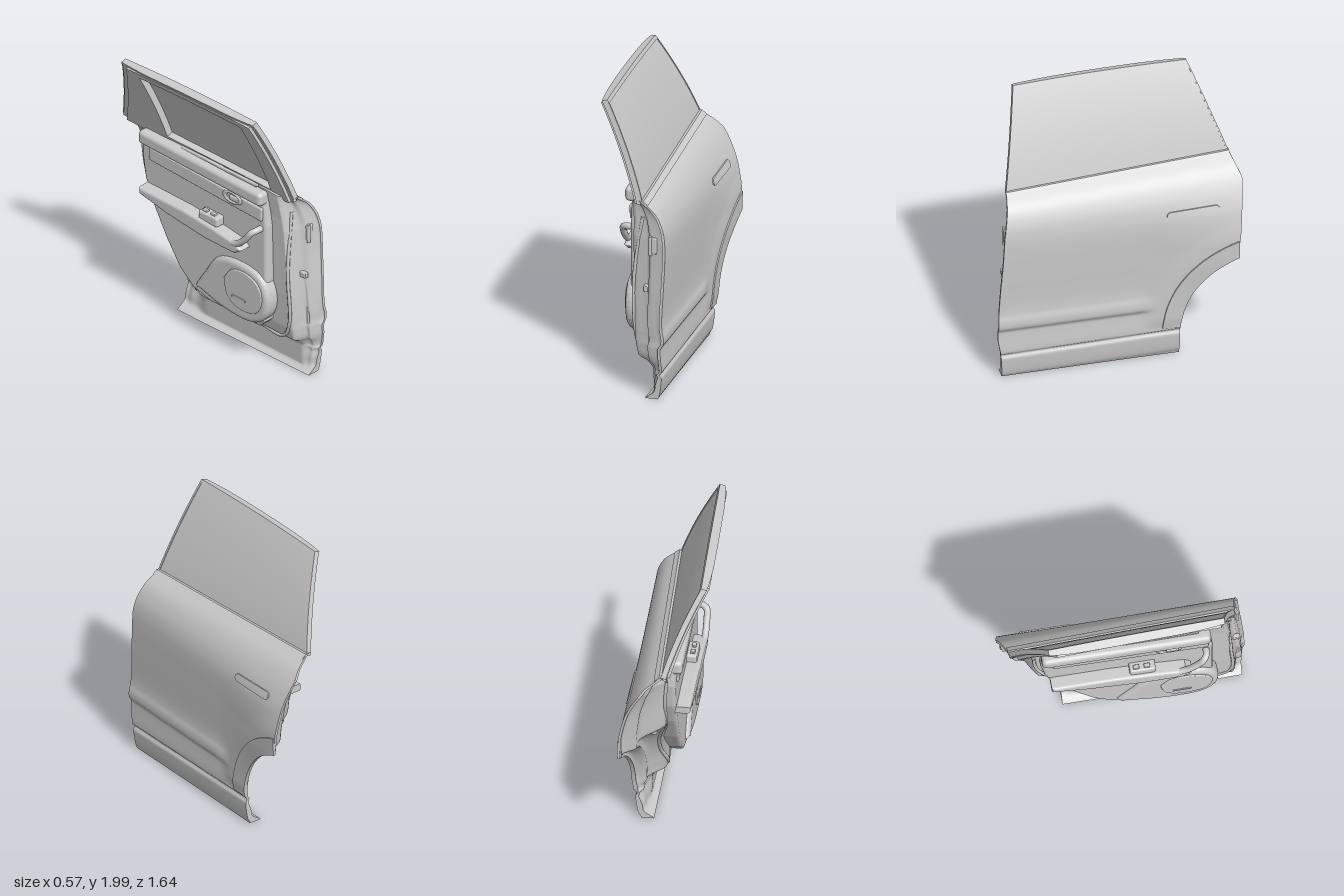
import * as THREE from 'three';
import { mergeGeometries } from 'three/addons/utils/BufferGeometryUtils.js';
import { RoundedBoxGeometry } from 'three/addons/geometries/RoundedBoxGeometry.js';

const mat = new THREE.MeshStandardMaterial({ color: 0xcccccc, side: THREE.DoubleSide });
const lerp = THREE.MathUtils.lerp;
const ramp = (a, b, t) => THREE.MathUtils.smoothstep(t, a, b);

// Straight or smooth lookup in a list of [key, value] pairs
function look(table, k, smooth = false) {
  const n = table.length;
  if (k <= table[0][0]) return table[0][1];
  if (k >= table[n - 1][0]) return table[n - 1][1];
  let i = 0;
  while (k > table[i + 1][0]) i++;
  const [a, b] = [table[i], table[i + 1]], h = b[0] - a[0], t = (k - a[0]) / h;
  if (!smooth) return lerp(a[1], b[1], t);
  const slope = j => {
    const p = table[Math.max(j - 1, 0)], q = table[Math.min(j + 1, n - 1)];
    return (q[1] - p[1]) / (q[0] - p[0]);
  };
  const t2 = t * t, t3 = t2 * t;
  return a[1] * (2 * t3 - 3 * t2 + 1) + b[1] * (3 * t2 - 2 * t3) +
    h * (slope(i) * (t3 - 2 * t2 + t) + slope(i + 1) * (t3 - t2));
}

// Surface from f(u, v) -> [x, y, z]
function grid(f, nu, nv) {
  const pos = [], idx = [];
  for (let j = 0; j <= nv; j++) for (let i = 0; i <= nu; i++) pos.push(...f(i / nu, j / nv));
  for (let j = 0; j < nv; j++) for (let i = 0; i < nu; i++) {
    const a = j * (nu + 1) + i, b = a + nu + 1;
    idx.push(a, a + 1, b, a + 1, b + 1, b);
  }
  const g = new THREE.BufferGeometry();
  g.setAttribute('position', new THREE.Float32BufferAttribute(pos, 3));
  g.setIndex(idx);
  g.computeVertexNormals();
  return g;
}

// Closed sheet between an outer and an inner surface
function slab(out, inn, nu, nv) {
  const mix = (u, v, t) => { const a = out(u, v), b = inn(u, v); return a.map((p, i) => lerp(p, b[i], t)); };
  return mergeGeometries([
    grid(out, nu, nv), grid((u, v) => inn(1 - u, v), nu, nv),
    grid((u, t) => mix(u, 0, 1 - t), nu, 1), grid((u, t) => mix(u, 1, t), nu, 1),
    grid((t, v) => mix(0, v, 1 - t), 1, nv), grid((t, v) => mix(1, v, t), 1, nv),
  ]);
}

// Door outline: front and rear edges by height, the rear one cut by the wheel arch
const FRONT = [[0.01, 0.79], [0.18, 0.8], [0.3, 0.82], [0.45, 0.82], [0.7, 0.805], [0.9, 0.79], [1.1, 0.78], [1.2, 0.765], [1.38, 0.73]];
const REAR = [[0.74, -0.757], [0.9, -0.78], [1.1, -0.8], [1.25, -0.82], [1.38, -0.76]];
const frontZ = y => look(FRONT, y);
const rearZ = y => y > 0.74 ? look(REAR, y) : -0.97 + Math.sqrt(0.58 ** 2 - Math.max(0, y - 0.2) ** 2);

const PROFILE = [[0.01, 0.18], [0.05, 0.2], [0.16, 0.216], [0.18, 0.214], [0.195, 0.203], [0.215, 0.219], [0.34, 0.215], [0.37, 0.216],
  [0.4, 0.234], [0.45, 0.236], [0.5, 0.226], [0.58, 0.223], [0.8, 0.231], [1, 0.236], [1.1, 0.228], [1.2, 0.198], [1.3, 0.135], [1.38, 0.035]];
const PLAIN = [[0.21, 0.217], [0.4, 0.222], [0.6, 0.226], [0.8, 0.231]];
const INNER = [[0.01, 0.14], [0.2, 0.13], [0.24, 0.1], [0.27, 0.04], [0.36, 0.02], [0.6, 0.005], [1.2, -0.01], [1.38, -0.025]];

const archDist = (y, z) => Math.hypot(z + 0.97, y - 0.2);
const tilt = (y, z) => -0.04 * z * ramp(0.8, 1.36, y);

// Outer skin: crease lines fade out towards the swollen rear wheel arch
function skinX(y, z) {
  let x = look(PROFILE, y + 0.017 * z * (1 - ramp(0.25, 0.35, y)), true);
  if (y > 0.23 && y < 0.8) x = lerp(look(PLAIN, y), x, ramp(-0.25, -0.1, z));
  x += 0.01 * ramp(0.22, 0.32, y) * (1 - ramp(0.7, 0.86, archDist(y, z)));
  x += 0.036 * (1 - ramp(-0.8, -0.1, z)) * ramp(0.35, 0.75, y) * (1 - ramp(0.85, 1.2, y));
  return x + 0.04 * z * ramp(1, 1.38, y);
}
const skinPt = (y, z, out = 0) => [skinX(y, z) + out, y + tilt(y, z), z];

// Pressed inner shell: flange rising in steps to a deep box
function shellPt(y, z) {
  const edge = skinX(y, z) - 0.018 - 0.05 * (1 - ramp(0, 0.07, y)) - 0.02 * (1 - ramp(0.1, 0.2, y));
  const f = frontZ(y) - z, b = Math.min(z - rearZ(y), archDist(y, z) - 0.58);
  const df = 0.45 * ramp(0.015, 0.035, f) + 0.55 * ramp(0.06, 0.1, f);
  const db = 0.35 * ramp(0.02, 0.07, b) + 0.65 * ramp(0.1, 0.23, b);
  const x = lerp(edge, Math.min(edge, look(INNER, y)), Math.min(df, db));
  return [x, y + tilt(y, z), z];
}

// Curved window surface; t runs from the belt (0) to the roof (1)
const winFront = t => lerp(0.73, 0.62, t), winRear = t => lerp(-0.76, -0.54, t * (0.9 + 0.1 * t));
function winPt(t, z, depth = 0) {
  const x = 0.03 - 0.18 * t - 0.073 * t * t + lerp(0.04, 0.025, t) * z;
  const top = 1.985 + 0.013 * (1 - (z / 0.6) ** 2);
  return [x - depth, lerp(1.38 - 0.04 * z, top, t) - depth * 0.3, z];
}
// Window part between two edges za(t), zb(t), heights t0..t1, depths d0..d1, with an inward bow
const winSlab = (za, zb, t0, t1, d0, d1, nu = 12, nv = 16, bow = 0) => {
  const at = (d, k) => (u, v) => {
    const t = lerp(t0, t1, v);
    return winPt(t, lerp(za(t), zb(t), u), d + k * (1 - (2 * u - 1) ** 4));
  };
  return slab(at(d0, 0), at(d1, bow), nu, nv);
};

// Plate with a rounded edge, drawn in (z, y) and raised towards the cabin
function plate(pts, x0, depth, bevel, round = false) {
  const v = pts.map(p => new THREE.Vector2(...p));
  const shape = round ? new THREE.Shape(new THREE.SplineCurve([...v, v[0]]).getPoints(48).slice(0, -1)) : new THREE.Shape(v);
  const g = new THREE.ExtrudeGeometry(shape, { depth: depth - bevel, bevelThickness: bevel, bevelSize: bevel, bevelOffset: -bevel, bevelSegments: 4 });
  return g.rotateY(-Math.PI / 2).translate(x0, 0, 0);
}

export function createModel() {
  const door = new THREE.Group();
  door.name = 'rearDoor';
  const add = (name, geo, x = 0, y = 0, z = 0) => {
    const m = new THREE.Mesh(geo, mat);
    m.name = name;
    m.position.set(x, y, z);
    door.add(m);
    return m;
  };
  const box = (w, h, d, r = 0.01) => new RoundedBoxGeometry(w, h, d, 3, r);

  // Lower door body
  const body = f => (u, v) => { const y = lerp(0.01, 1.38, v); return f(y, lerp(frontZ(y), rearZ(y), u)); };
  add('doorBody', slab(body(skinPt), body(shellPt), 110, 140));

  // Belt moulding
  const belt = off => (u, v) => skinPt(lerp(1.355, 1.38, v), lerp(0.735, -0.765, u), off);
  add('beltMoulding', slab(belt(0.01), belt(-0.02), 30, 3));

  // Wheel arch trim ring, cut off at the rear edge of the door
  const arch = off => (u, v) => {
    const r = lerp(0.7, 0.58, u), a = lerp(0.05, Math.acos(0.2 / r), v);
    return skinPt(0.2 + r * Math.sin(a), -0.97 + r * Math.cos(a), off);
  };
  add('archTrim', slab(arch(0.009), arch(-0.008), 8, 40));

  // Flush outer handle with rounded ends
  const grip = off => (u, v) => {
    const dy = lerp(-0.025, 0.025, v), half = 0.15 + Math.sqrt(Math.max(0, 0.000625 - dy * dy));
    const z = -0.475 + lerp(half, -half, u);
    return skinPt(1.098 + dy - 0.01 * (z + 0.475), z, off);
  };
  add('outerHandle', slab(grip(0.008), grip(-0.01), 24, 16));

  // Glass and surrounding frame: a wide layer and a narrower raised one
  add('windowGlass', winSlab(winFront, winRear, 0, 1, 0, 0.01, 24, 24));
  const openF = t => lerp(0.56, 0.49, t), openR = t => lerp(-0.34, -0.4, t);
  for (const [name, d0, d1, e] of [['frameOuter', 0.01, 0.035, 0.005], ['frameInner', 0.03, 0.055, 0.03]]) {
    add(name + 'FrontPillar', winSlab(t => winFront(t) - e, openF, -0.03, 1 - e, d0, d1));
    add(name + 'RearPillar', winSlab(openR, t => winRear(t) + e * 2, -0.03, 1 - e, d0, d1));
    add(name + 'TopRail', winSlab(openF, openR, 0.89, 1 - e, d0, d1));
    add(name + 'BeltRail', winSlab(openF, openR, -0.03, 0.04, d0, d1));
  }
  add('roofMoulding', winSlab(winFront, winRear, 0.96, 1, -0.004, 0.032, 32, 3, 0.02));
  add('frontMoulding', winSlab(winFront, t => winFront(t) - 0.014, 0, 1, -0.005, 0.03, 2, 16));
  add('rearMoulding', winSlab(t => winRear(t) + 0.01, winRear, 0, 1, -0.004, 0.03, 2, 16));

  // Cabin trim panel and its upper roll
  add('trimPanel', plate([[-0.55, 1.36], [0.54, 1.34], [0.57, 1.1], [0.57, 0.7], [0.55, 0.38], [0.5, 0.33], [0.05, 0.33],
    [-0.1, 0.37], [-0.22, 0.47], [-0.34, 0.64], [-0.46, 0.85], [-0.53, 1.02], [-0.56, 1.2]], 0.04, 0.105, 0.025));
  const roll = add('trimTopRoll', box(0.09, 0.1, 1.11, 0.03), -0.065, 1.325, 0);
  roll.rotation.x = 0.025;
  const inlay = add('trimInlay', box(0.025, 0.1, 1.02, 0.012), -0.067, 1.21, 0.03);
  inlay.rotation.x = 0.04;
  add('windowSlotSeal', box(0.03, 0.014, 0.95, 0.005), -0.045, 1.375, 0);

  // Inner door release
  const release = add('releaseBezel', new THREE.TorusGeometry(0.035, 0.009, 8, 28), -0.082, 1.22, 0.28);
  release.rotation.y = Math.PI / 2;
  release.scale.x = 2;
  add('releaseLever', box(0.02, 0.035, 0.08, 0.008), -0.085, 1.22, 0.3);

  // Armrest, switch pod and pull handle
  add('armrest', plate([[-0.5, 1.0], [-0.1, 0.995], [0.18, 0.97], [0.38, 0.94], [0.42, 0.9], [0.36, 0.86],
    [0.1, 0.86], [-0.25, 0.9], [-0.5, 0.95]], -0.03, 0.125, 0.02));
  add('switchPod', box(0.08, 0.07, 0.17, 0.015), -0.09, 1.0, 0.1);
  for (const z of [0.06, 0.13]) add('windowSwitch', box(0.03, 0.015, 0.04, 0.005), -0.1, 1.04, z);
  const pull = new THREE.CatmullRomCurve3([[-0.13, 0.91, 0.26], [-0.138, 0.94, 0.38], [-0.138, 1.01, 0.46],
    [-0.132, 1.065, 0.5], [-0.1, 1.08, 0.52], [-0.04, 1.08, 0.52]].map(p => new THREE.Vector3(...p)));
  add('pullHandle', new THREE.TubeGeometry(pull, 32, 0.022, 12));

  // Map pocket bulge with speaker grille
  add('pocketBulge', plate([[-0.06, 0.42], [0.03, 0.56], [0.14, 0.71], [0.32, 0.76], [0.52, 0.73], [0.6, 0.6],
    [0.58, 0.44], [0.45, 0.345], [0.2, 0.35]], -0.01, 0.085, 0.035, true));
  add('speakerGrille', plate([[0.22, 0.6], [0.29, 0.69], [0.42, 0.71], [0.53, 0.66], [0.56, 0.55], [0.5, 0.44], [0.35, 0.42], [0.25, 0.48]],
    -0.08, 0.025, 0.008, true));
  add('grilleSlot', box(0.008, 0.02, 0.12, 0.004), -0.106, 0.5, 0.36);

  // Front hinges and rear latch
  for (const y of [1.06, 0.45]) {
    add('hingeBracket', box(0.05, 0.11, 0.05, 0.008), 0.15, y, 0.74);
    add('hingePin', new THREE.CylinderGeometry(0.012, 0.012, 0.13, 12), 0.13, y, 0.762);
  }
  add('checkStrap', box(0.03, 0.04, 0.06, 0.006), 0.1, 0.76, 0.745);
  add('latch', box(0.04, 0.08, 0.05, 0.01), 0.07, 0.86, -0.56);

  // Seal around the edge of the shell
  const sealPath = [[0.68, 1.25], [0.7, 0.8], [0.7, 0.4], [0.62, 0.27], [0.4, 0.26], [0.1, 0.26], [-0.12, 0.28], [-0.2, 0.36],
    [-0.27, 0.48], [-0.36, 0.64], [-0.52, 0.9], [-0.58, 1.05], [-0.6, 1.25]];
  const seal = new THREE.CatmullRomCurve3(sealPath.map(([z, y]) => new THREE.Vector3(...shellPt(y, z))));
  add('doorSeal', new THREE.TubeGeometry(seal, 100, 0.012, 8));
  return door;
}
